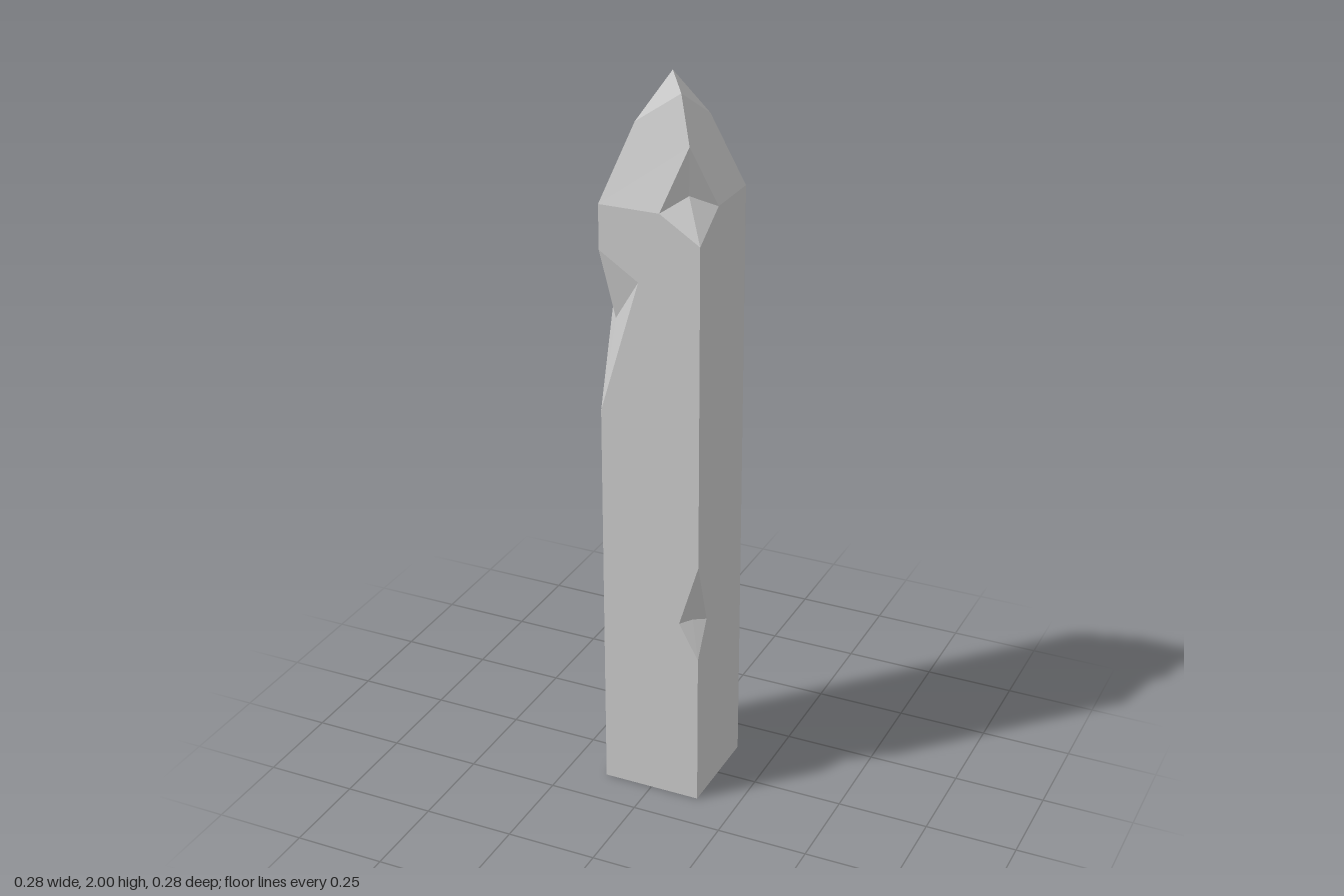
import * as THREE from 'three';

const X = 0.138, Z = 0.14, EAVE = 1.68;
const material = new THREE.MeshStandardMaterial({ color: 0xcccccc, flatShading: true, side: THREE.DoubleSide });
const v = (x, y, z) => new THREE.Vector3(x, y, z);

// Triangulates one flat outline (counter-clockwise seen from outside)
function triangles(points) {
  if (points.length === 3) return points;
  const n = v(0, 0, 0);
  points.forEach((p, i) => n.add(p.clone().cross(points[(i + 1) % points.length])));
  n.normalize();
  const right = v(0, 1, 0).cross(n).normalize();
  const up = n.clone().cross(right);
  const flat = points.map(p => new THREE.Vector2(p.dot(right), p.dot(up)));
  return THREE.ShapeUtils.triangulateShape(flat, []).flat().map(i => points[i]);
}

// One faceted mesh from a list of outlines
function facets(name, outlines) {
  const geometry = new THREE.BufferGeometry().setFromPoints(outlines.flatMap(triangles));
  geometry.computeVertexNormals();
  const mesh = new THREE.Mesh(geometry, material);
  mesh.name = name;
  return mesh;
}

export function createModel() {
  const group = new THREE.Group();
  group.name = 'stake';

  // Corners of the shaft at a given height
  const frontLeft = y => v(X, y, Z), frontRight = y => v(-X, y, Z);
  const backLeft = y => v(X, y, -Z), backRight = y => v(-X, y, -Z);

  // Chip at the front left shoulder
  const chip = {
    top: v(0.083, 1.84, 0.083), front: v(0.028, EAVE, Z), side: v(X, EAVE, 0.03),
    bottom: frontLeft(1.61), inner: v(0.0825, 1.715, 0.0835),
  };
  // Small nick low on the front left edge
  const nick = {
    top: frontLeft(0.72), bottom: frontLeft(0.44),
    front: v(0.083, 0.54, Z), side: v(X, 0.54, 0.085), inner: v(0.11, 0.545, 0.112),
  };
  // Long gash on the front right edge
  const gash = {
    top: frontRight(1.56), bottom: frontRight(1.12),
    front: v(-0.03, 1.49, Z), side: v(-X, 1.475, 0.037), inner: v(-0.108, 1.37, 0.109),
  };

  // Four shaft walls, open underneath
  group.add(facets('shaft', [
    [frontRight(0), frontLeft(0), nick.bottom, nick.front, nick.top, chip.bottom, chip.front,
      frontRight(EAVE), gash.top, gash.front, gash.bottom],
    [frontLeft(0), backLeft(0), backLeft(EAVE), chip.side, chip.bottom, nick.top, nick.side, nick.bottom],
    [backLeft(0), backRight(0), backRight(EAVE), backLeft(EAVE)],
    [backRight(0), frontRight(0), gash.bottom, gash.side, gash.top, frontRight(EAVE), backRight(EAVE)],
  ]));

  // Two-stage point, with one ridge standing higher
  const apex = v(0, 2, 0), ridge = v(0.042, 1.957, 0.042);
  const midFR = v(-0.07, 1.88, 0.07), midBL = v(0.07, 1.88, -0.07), midBR = v(-0.07, 1.88, -0.07);
  group.add(facets('point', [
    [midFR, ridge, apex], [ridge, midBL, apex], [midBL, midBR, apex], [midBR, midFR, apex],
    [frontRight(EAVE), chip.front, chip.top, ridge, midFR],
    [chip.side, backLeft(EAVE), midBL, ridge, chip.top],
    [backLeft(EAVE), backRight(EAVE), midBR, midBL],
    [backRight(EAVE), frontRight(EAVE), midFR, midBR],
  ]));

  // Cut surfaces: four facets meeting at the deepest spot of each cut
  const cuts = { shoulderChip: chip, lowerNick: nick };
  for (const [name, c] of Object.entries(cuts)) {
    group.add(facets(name, [
      [c.top, c.front, c.inner], [c.front, c.bottom, c.inner],
      [c.bottom, c.side, c.inner], [c.side, c.top, c.inner],
    ]));
  }
  group.add(facets('edgeGash', [
    [gash.front, gash.top, gash.inner], [gash.bottom, gash.front, gash.inner],
    [gash.side, gash.bottom, gash.inner], [gash.top, gash.side, gash.inner],
  ]));

  return group;
}
